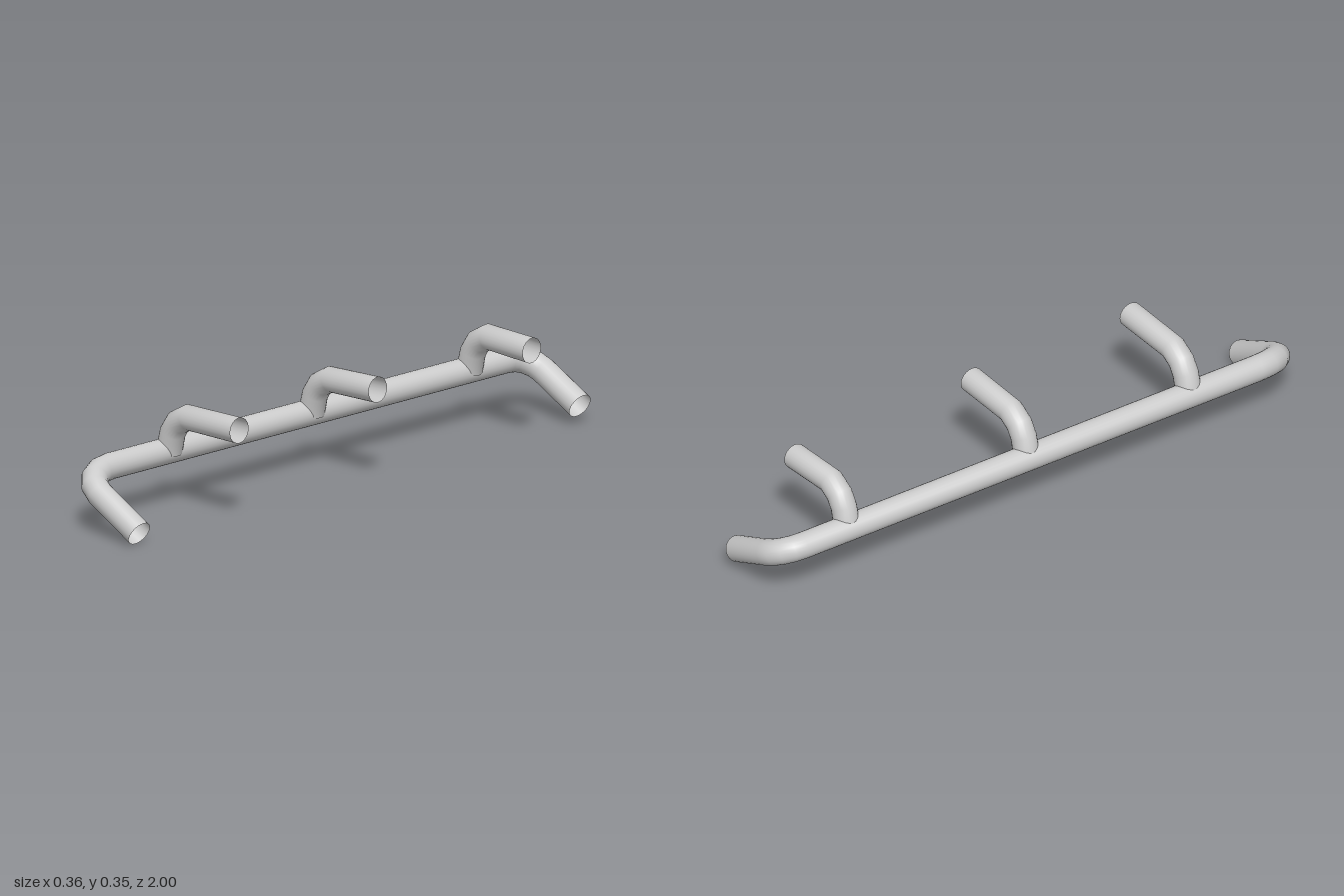
import * as THREE from 'three';

const material = new THREE.MeshStandardMaterial({ color: 0xcccccc, side: THREE.DoubleSide });
const RADIUS = 0.042;
const V = (x, y, z) => new THREE.Vector3(x, y, z);

// Path that places one ring of the tube exactly on each given point
class PointPath extends THREE.Curve {
  constructor(points) {
    super();
    this.points = points;
  }
  getPointAt(u) {
    return this.points[Math.round(u * (this.points.length - 1))].clone();
  }
  getTangentAt(u) {
    const p = this.points, i = Math.round(u * (p.length - 1));
    const t = V(0, 0, 0);
    if (i > 0) t.add(p[i].clone().sub(p[i - 1]).normalize());
    if (i < p.length - 1) t.add(p[i + 1].clone().sub(p[i]).normalize());
    return t.normalize();
  }
}

function pipe(name, points, radius) {
  const geometry = new THREE.TubeGeometry(new PointPath(points), points.length - 1, radius, 24, false);
  const mesh = new THREE.Mesh(geometry, material);
  mesh.name = name;
  return mesh;
}

// Rounded corner from a to b, where the straight runs would meet at corner
function bend(a, corner, b, steps) {
  const centre = a.clone().add(b).sub(corner);
  return Array.from({ length: steps + 1 }, (_, i) => {
    const t = (i / steps) * Math.PI / 2;
    return centre.clone()
      .addScaledVector(a.clone().sub(centre), Math.cos(t))
      .addScaledVector(b.clone().sub(centre), Math.sin(t));
  });
}

// Open end, angled leg and bend into the rail
function railEnd(end, cornerZ, startZ, legLength) {
  const corner = V(-0.137, 0.178, cornerZ);
  const legStart = corner.clone().addScaledVector(end.clone().sub(corner).normalize(), legLength);
  return [end, ...bend(legStart, corner, V(-0.137, 0.178, startZ), 4)];
}

export function createModel() {
  const group = new THREE.Group();
  group.name = 'sideRail';

  // Long rail with both ends turned inward and down
  const front = railEnd(V(0.126, 0.04, 0.955), 0.957, 0.83, 0.1);
  const back = railEnd(V(0.104, 0.062, -0.955), -0.957, -0.875, 0.085);
  group.add(pipe('mainRail', [...front, ...back.reverse()], RADIUS));

  // Three curved mounting arms rising from the rail: [base z, end x, end y, end z]
  const arms = [
    [0.583, 0.176, 0.307, 0.574],
    [-0.027, 0.157, 0.311, -0.038],
    [-0.704, 0.139, 0.297, -0.715],
  ];
  arms.forEach(([z, endX, endY, endZ], i) => {
    const points = [
      V(-0.129, 0.18, z), V(-0.113, 0.243, z), V(-0.09, 0.279, z - 0.001), V(-0.046, 0.304, z - 0.002),
      V(endX, endY, endZ),
    ];
    group.add(pipe(`mountingArm${i + 1}`, points, RADIUS - 0.001));
  });

  return group;
}
